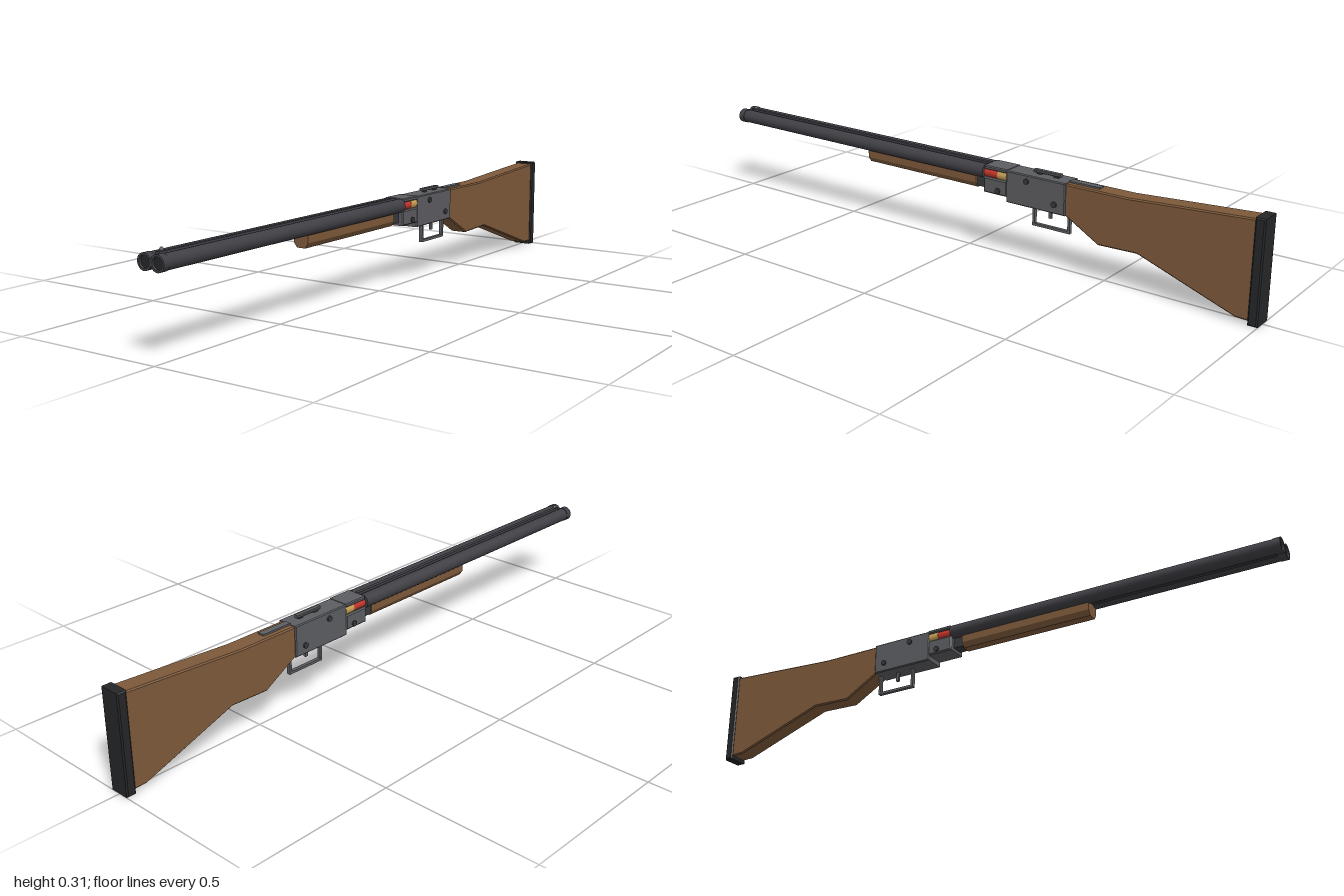
import * as THREE from 'three';

const material = (name, color, side = THREE.FrontSide) => {
  const m = new THREE.MeshStandardMaterial({ color, side });
  m.name = name;
  return m;
};

export function createModel() {
  const model = new THREE.Group();
  model.name = 'doubleBarrelGun';

  const wood = material('walnut wood', 0x7d593a);
  const barrelSteel = material('blued barrel steel', 0x3f3f45);
  const steel = material('receiver steel', 0x5c5d61);
  const darkSteel = material('dark steel', 0x38393c);
  const rubber = material('black rubber', 0x252628);
  const red = material('red shell casing', 0xc8362a);
  const brass = material('brass', 0xc9a055);

  const add = (name, geometry, mat, x = 0, y = 0, z = 0) => {
    const mesh = new THREE.Mesh(geometry, mat);
    mesh.name = name;
    mesh.position.set(x, y, z);
    model.add(mesh);
    return mesh;
  };

  // Box given by its half width and its extents in y and z
  const block = (name, halfW, y0, y1, z0, z1, mat, x = 0) =>
    add(name, new THREE.BoxGeometry(halfW * 2, y1 - y0, z1 - z0), mat, x, (y0 + y1) / 2, (z0 + z1) / 2);

  // Cylinder lying along z
  const rod = (name, radius, z0, z1, mat, x, y, sides = 24) =>
    add(name, new THREE.CylinderGeometry(radius, radius, z1 - z0, sides).rotateX(Math.PI / 2), mat, x, y, (z0 + z1) / 2);

  // Side profile of [z, y] points, extruded across x with chamfered edges
  const sideProfile = (name, points, halfW, bevel, mat) => {
    const shape = new THREE.Shape(points.map(([z, y]) => new THREE.Vector2(-z, y)));
    const geometry = new THREE.ExtrudeGeometry(shape, {
      depth: (halfW - bevel) * 2, bevelEnabled: bevel > 0, bevelSize: bevel,
      bevelThickness: bevel, bevelOffset: -bevel, bevelSegments: 1,
    });
    geometry.translate(0, 0, -(halfW - bevel)).rotateY(Math.PI / 2);
    return add(name, geometry, mat);
  };
  const rectangle = (z0, z1, y0, y1) => [[z0, y0], [z1, y0], [z1, y1], [z0, y1]];

  // Shoulder stock and butt pad
  sideProfile('stock', [
    [-0.37, 0.283], [-0.37, 0.187], [-0.49, 0.118], [-0.62, 0.122],
    [-0.93, 0.013], [-0.98, 0.011], [-0.98, 0.307], [-0.76, 0.294], [-0.58, 0.283],
  ], 0.03, 0.004, wood);
  sideProfile('buttPad', rectangle(-1, -0.97, 0, 0.312), 0.035, 0.004, rubber);

  // Receiver, with its tang let into the wrist of the stock
  sideProfile('receiver', rectangle(-0.377, -0.165, 0.184, 0.285), 0.035, 0.003, steel);
  block('tang', 0.011, 0.278, 0.288, -0.48, -0.375, steel);

  // Open breech: lower block and top strap, leaving a window at each side
  sideProfile('breechBlock', rectangle(-0.168, -0.08, 0.2, 0.25), 0.036, 0.004, steel);
  sideProfile('breechStrap', rectangle(-0.168, -0.085, 0.275, 0.287), 0.036, 0.003, steel);

  // Top lever raised on two posts
  sideProfile('topLever', rectangle(-0.342, -0.246, 0.29, 0.299), 0.008, 0.002, steel);
  for (const z of [-0.325, -0.265]) block('leverPost', 0.005, 0.283, 0.292, z - 0.008, z + 0.008, darkSteel);

  // Trigger and its square guard
  block('guardFront', 0.006, 0.12, 0.187, -0.252, -0.244, steel);
  block('guardBack', 0.006, 0.12, 0.19, -0.378, -0.37, steel);
  block('guardBottom', 0.006, 0.119, 0.127, -0.378, -0.244, steel);
  block('trigger', 0.004, 0.153, 0.187, -0.311, -0.301, steel);

  // Fore-end with chamfered lower edges
  const foreShape = new THREE.Shape([
    [-0.026, 0.25], [-0.026, 0.22], [-0.015, 0.204], [0.015, 0.204], [0.026, 0.22], [0.026, 0.25],
  ].map(([x, y]) => new THREE.Vector2(x, y)));
  add('foreEnd', new THREE.ExtrudeGeometry(foreShape, { depth: 0.445, bevelEnabled: false }), wood, 0, 0, -0.045);

  // Joint between fore-end and breech
  block('hingeBlock', 0.02, 0.21, 0.245, -0.085, -0.04, darkSteel);

  // Barrels, muzzle rings with bores, loaded shells and side pins
  const muzzleShape = new THREE.Shape().absarc(0, 0, 0.0235, 0, Math.PI * 2);
  muzzleShape.holes.push(new THREE.Path().absarc(0, 0, 0.0175, 0, Math.PI * 2, true));
  const muzzleGeometry = new THREE.ExtrudeGeometry(muzzleShape, { depth: 0.022, bevelEnabled: false, curveSegments: 24 });
  const pins = [[0.265, -0.24, 0.035], [0.213, -0.34, 0.035], [0.214, -0.135, 0.036]];
  for (const side of [-1, 1]) {
    const x = side * 0.0225;
    rod('barrel', 0.022, -0.082, 0.99, barrelSteel, x, 0.265);
    add('muzzleRing', muzzleGeometry, barrelSteel, x, 0.265, 0.978);
    rod('bore', 0.0176, 0.985, 0.993, rubber, x, 0.265);
    rod('shellCasing', 0.0155, -0.135, -0.081, red, side * 0.019, 0.263);
    rod('shellBase', 0.0165, -0.166, -0.132, brass, side * 0.019, 0.263);
    for (const [y, z, face] of pins) {
      add('sidePin', new THREE.CylinderGeometry(0.009, 0.009, 0.007, 12).rotateZ(Math.PI / 2),
        darkSteel, side * (face + 0.0015), y, z);
    }
  }

  // Sighting rib and front bead
  block('rib', 0.006, 0.266, 0.289, -0.085, 0.975, barrelSteel);
  block('lowerRib', 0.005, 0.248, 0.262, -0.05, 0.975, barrelSteel);
  add('beadSight', new THREE.SphereGeometry(0.006, 12, 8), steel, 0, 0.293, 0.96);

  return model;
}
